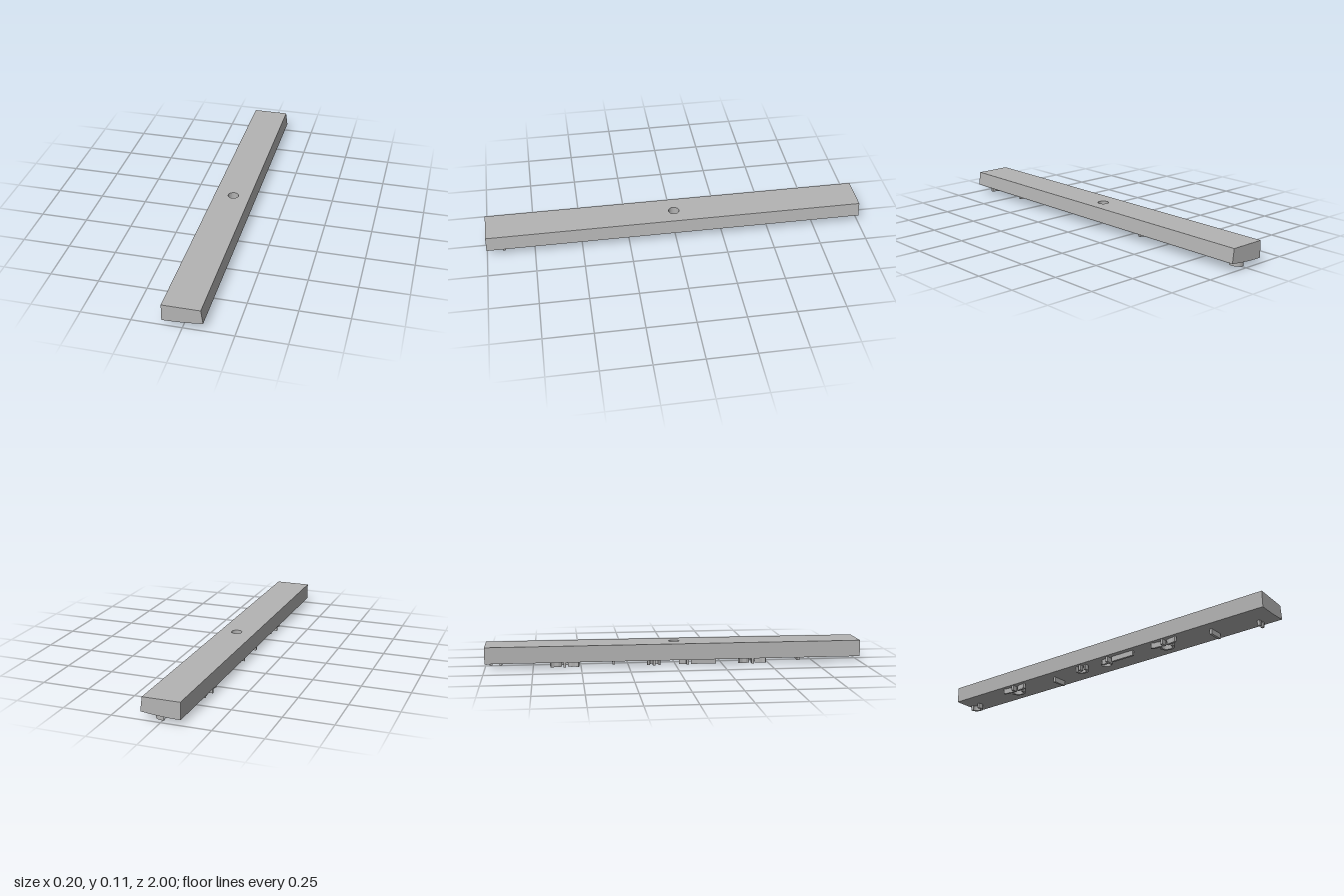
import * as THREE from 'three';

const TOP = 0.115, HALF = 0.1, SEG = 8, RIB_DEPTH = 0.028;

// gently curved underside, rising towards +x
const under = (x) => 0.028 + 0.014 * ((x + HALF) / (2 * HALF)) ** 2;
const stepX = (i) => -HALF + (2 * HALF * i) / SEG;

// extrude an outline lying in x/z upwards by 1, then place each vertex by a rule
function upright(shape, place) {
  const g = new THREE.ExtrudeGeometry(shape, { depth: 1, bevelEnabled: false, curveSegments: 24 });
  g.rotateX(-Math.PI / 2);
  const p = g.attributes.position;
  for (let i = 0; i < p.count; i++) {
    const [x, y] = place(p.getX(i), p.getY(i));
    p.setX(i, x);
    p.setY(i, y);
  }
  g.computeVertexNormals();
  return g;
}

// constant-width band following a path of [x, z] points
function band(path, width = 0.013) {
  const left = [], right = [];
  path.forEach(([x, z], i) => {
    const a = path[Math.max(i - 1, 0)], b = path[Math.min(i + 1, path.length - 1)];
    const dx = b[0] - a[0], dz = b[1] - a[1], l = Math.hypot(dx, dz);
    const ox = (-dz / l) * width / 2, oz = (dx / l) * width / 2;
    left.push(new THREE.Vector2(x + ox, -(z + oz)));
    right.push(new THREE.Vector2(x - ox, -(z - oz)));
  });
  return new THREE.Shape([...left, ...right.reverse()]);
}

const line = (x0, z0, x1, z1, n = 6) =>
  Array.from({ length: n + 1 }, (_, i) => [x0 + ((x1 - x0) * i) / n, z0 + ((z1 - z0) * i) / n]);

const arc = (cx, cz, r, from, to, n = 16) =>
  Array.from({ length: n + 1 }, (_, i) => {
    const a = THREE.MathUtils.degToRad(from + ((to - from) * i) / n);
    return [cx + r * Math.cos(a), cz + r * Math.sin(a)];
  });

export function createModel() {
  const model = new THREE.Group();
  const grey = new THREE.MeshStandardMaterial({ color: 0xb4b4b4 });
  grey.name = 'grey';

  const add = (name, geometry) => {
    const mesh = new THREE.Mesh(geometry, grey);
    mesh.name = name;
    model.add(mesh);
    return mesh;
  };

  // long halves of the bar, swept along z
  const MID = 0.05;
  const profile = new THREE.Shape();
  profile.moveTo(-HALF, TOP);
  for (let i = 0; i <= SEG; i++) profile.lineTo(stepX(i), under(stepX(i)));
  profile.lineTo(0.09, TOP);
  const half = new THREE.ExtrudeGeometry(profile, { depth: 1 - MID, bevelEnabled: false });
  add('frontBar', half).position.z = MID;
  add('backBar', half).position.z = -1;

  // middle of the bar with its vertical hole
  const outline = [];
  for (let i = 0; i <= SEG; i++) outline.push(new THREE.Vector2(stepX(i), -MID));
  for (let i = SEG; i >= 0; i--) outline.push(new THREE.Vector2(stepX(i), MID));
  const block = new THREE.Shape(outline);
  block.holes.push(new THREE.Path().absarc(0, 0, 0.028, 0, Math.PI * 2, true));
  add('middleBar', upright(block, (x, t) => [
    t > 0.5 && x > 0.095 ? 0.09 : x,
    t > 0.5 ? TOP : under(x),
  ]));

  // raised ribs that follow the underside
  const rib = (name, path, width) =>
    add(name, upright(band(path, width), (x, t) => [x, under(x) + (t > 0.5 ? 0.002 : -RIB_DEPTH)]));

  // pair of small posts near the front end
  for (const x of [0.061, 0.03]) rib('frontPost', line(x - 0.009, 0.91, x + 0.009, 0.91, 2), 0.014);

  // cross ribs
  for (const z of [0.675, -0.325]) rib('crossRib', line(-0.042, z, 0.045, z));

  // arched ribs with feet
  for (const z of [0.415, -0.585]) {
    rib('archRib', arc(-0.042, z, 0.033, -105, 105));
    for (const s of [-1, 1]) {
      rib('archFoot', [[-0.062, z + s * 0.018], [-0.07, z + s * 0.035], [-0.07, z + s * 0.055], [-0.078, z + s * 0.074]]);
    }
    rib('archStem', line(-0.094, z, -0.062, z, 3));
  }

  // long rib with a short crossing
  rib('longRib', line(-0.066, 0.22, -0.066, 0.085));
  rib('longRibCross', line(-0.09, 0.065, -0.04, 0.065, 4));
  rib('longRibTip', line(-0.066, 0.065, -0.062, 0.022, 3));

  // open ring with a centre post
  rib('openRing', arc(-0.066, -0.115, 0.029, -110, 110));
  rib('ringPost', line(-0.088, -0.115, -0.066, -0.115, 2));

  // hooked rib near the back end
  rib('hookRib', [...arc(0.008, -0.947, 0.028, -120, 80), [-0.01, -0.922]]);

  return model;
}
